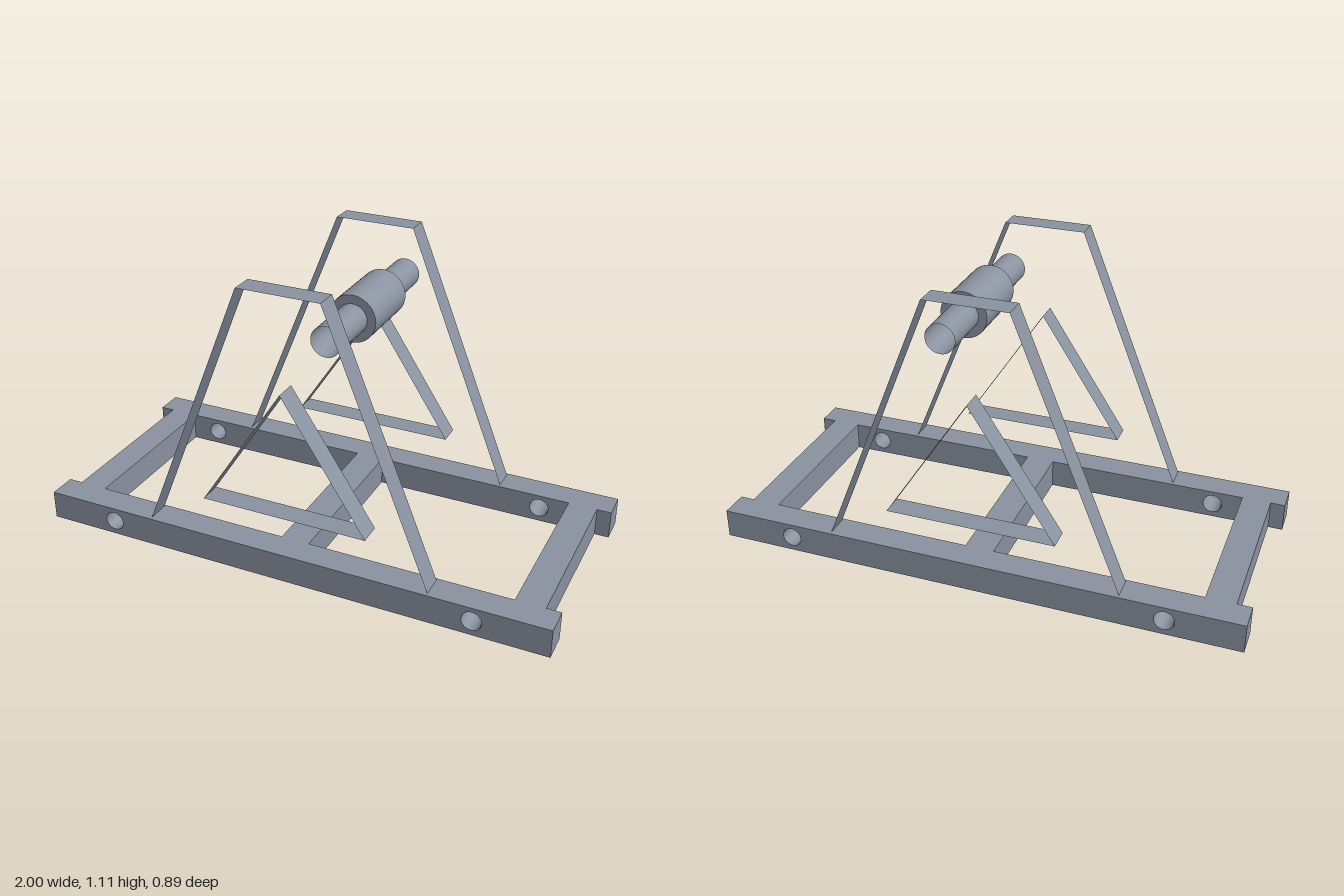
import * as THREE from 'three';

export function createModel() {
  const group = new THREE.Group();
  const steel = new THREE.MeshStandardMaterial({ color: 0x8a93a0, side: THREE.DoubleSide });
  steel.name = 'blue grey steel';

  const add = (name, geometry, x = 0, y = 0, z = 0, parent = group) => {
    const mesh = new THREE.Mesh(geometry, steel);
    mesh.name = name;
    mesh.position.set(x, y, z);
    parent.add(mesh);
    return mesh;
  };

  const railHeight = 0.111, railDepth = 0.108, railZ = 0.391;

  // Long rails, each with two bolt holes running right through
  const railShape = new THREE.Shape([
    new THREE.Vector2(-1, 0), new THREE.Vector2(1, 0),
    new THREE.Vector2(1, railHeight), new THREE.Vector2(-1, railHeight),
  ]);
  for (const x of [-0.72, 0.72]) {
    railShape.holes.push(new THREE.Path().absarc(x, 0.057, 0.037, 0, Math.PI * 2, true));
  }
  const railGeometry = new THREE.ExtrudeGeometry(railShape, {
    depth: railDepth, bevelEnabled: false, curveSegments: 24,
  });
  railGeometry.translate(0, 0, -railDepth / 2);
  add('frontRail', railGeometry, 0, 0, railZ);
  add('backRail', railGeometry, 0, 0, -railZ);

  // Crossbars joining the rails
  const barGeometry = new THREE.BoxGeometry(0.11, railHeight, 2 * railZ - railDepth);
  for (const x of [-0.89, 0, 0.89]) add('crossbar', barGeometry, x, railHeight / 2, 0);

  // Closed loop of flat strips along a polygon, open at front and back
  const addStripLoop = (name, points, parent) => {
    points.forEach(([x1, y1], i) => {
      const [x2, y2] = points[(i + 1) % points.length];
      const strip = new THREE.PlaneGeometry(Math.hypot(x2 - x1, y2 - y1), 0.087);
      strip.rotateX(-Math.PI / 2);
      strip.rotateZ(Math.atan2(y2 - y1, x2 - x1));
      add(name, strip, (x1 + x2) / 2, (y1 + y2) / 2, 0, parent);
    });
  };

  // Upright frames: tapered outer band with a triangular inner band
  for (const side of [1, -1]) {
    const frame = new THREE.Group();
    frame.name = side > 0 ? 'frontFrame' : 'backFrame';
    frame.position.z = side * 0.391;
    addStripLoop('outerBand', [[-0.555, 0.112], [-0.155, 1.111], [0.155, 1.111], [0.555, 0.112]], frame);
    addStripLoop('triangleBand', [[0.32, 0.26], [0, 0.75], [-0.32, 0.26]].reverse(), frame);
    group.add(frame);
  }

  // Hollow axle with a wider sleeve around its middle
  const axle = new THREE.Group();
  axle.name = 'axle';
  axle.position.set(0.13, 0.935, 0);
  const tube = (radius, length) =>
    new THREE.CylinderGeometry(radius, radius, length, 48, 1, true).rotateX(Math.PI / 2);
  add('axleTube', tube(0.056, 0.69), 0, 0, 0, axle);
  add('sleeve', tube(0.088, 0.266), 0, 0, 0, axle);
  const ring = new THREE.RingGeometry(0.056, 0.088, 48);
  add('sleeveFrontEnd', ring, 0, 0, 0.133, axle);
  add('sleeveBackEnd', ring, 0, 0, -0.133, axle).rotation.y = Math.PI;
  group.add(axle);

  return group;
}
